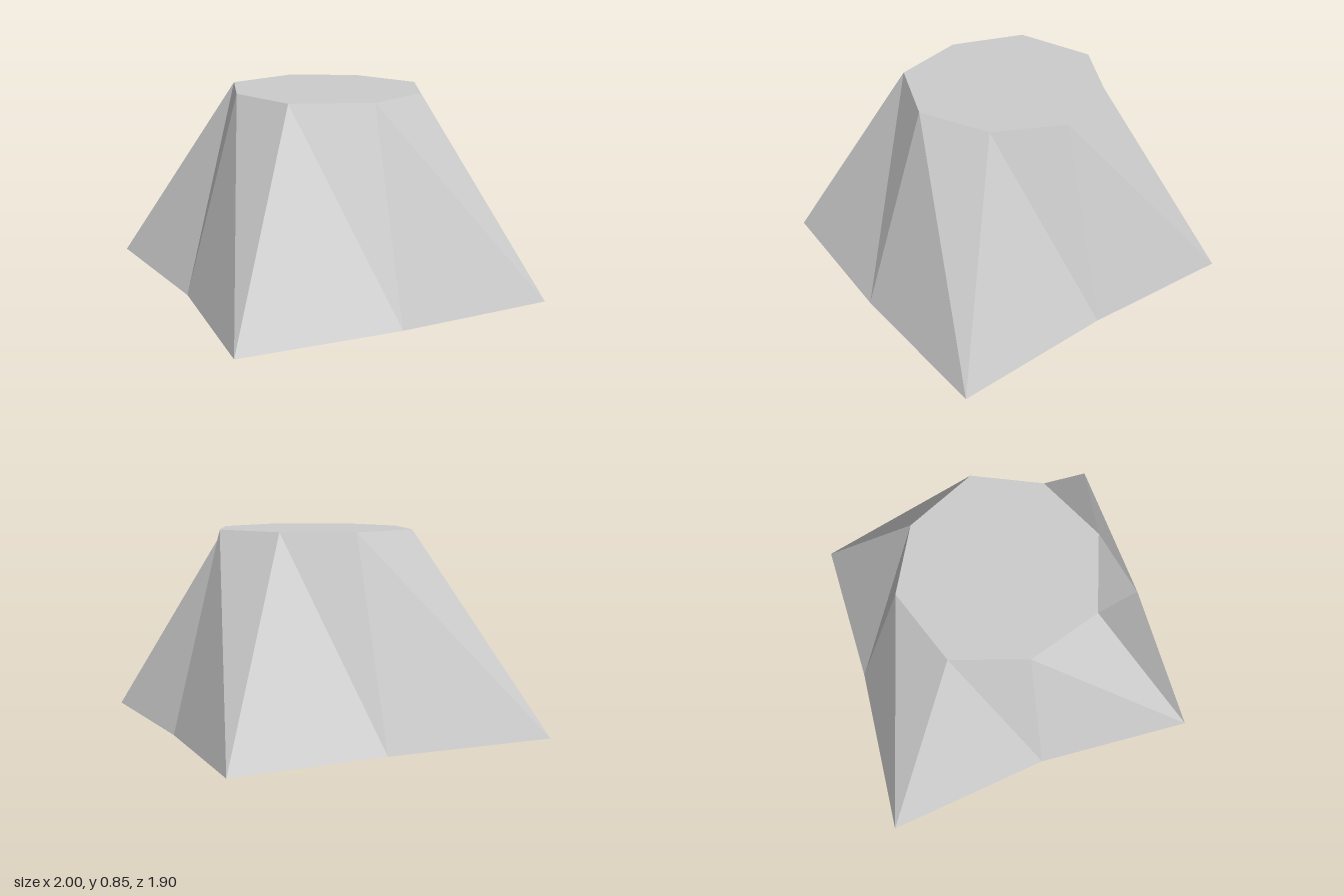
import * as THREE from 'three';

const HEIGHT = 0.845;

// Matching [x, z] outlines, counter-clockwise seen from above, starting at -x
const BASE = [[-1, -0.02], [-0.43, 0.435], [0.03, 0.95], [0.53, 0.485],
  [1, -0.02], [0.485, -0.475], [0.03, -0.95], [-0.44, -0.495]];
const RIM = [[-0.407, -0.02], [-0.26, 0.267], [0.03, 0.417], [0.34, 0.277],
  [0.445, -0.02], [0.34, -0.307], [0.03, -0.42], [-0.26, -0.33]];

function facets(name, points, material) {
  const geometry = new THREE.BufferGeometry();
  geometry.setAttribute('position', new THREE.Float32BufferAttribute(points.flat(), 3));
  geometry.computeVertexNormals(); // unshared corners give flat facets
  const mesh = new THREE.Mesh(geometry, material);
  mesh.name = name;
  return mesh;
}

export function createModel() {
  const stone = new THREE.MeshStandardMaterial({ color: 0xcccccc, flatShading: true });
  stone.name = 'pale grey';

  const low = BASE.map(([x, z]) => [x, 0, z]);
  const high = RIM.map(([x, z]) => [x, HEIGHT, z]);
  const walls = [], top = [], bottom = [];
  for (let i = 0; i < low.length; i++) {
    const j = (i + 1) % low.length;
    walls.push(low[i], low[j], high[i], low[j], high[j], high[i]);
    top.push([0.03, HEIGHT, -0.02], high[i], high[j]);
    bottom.push([0.03, 0, -0.02], low[j], low[i]);
  }

  const group = new THREE.Group();
  group.name = 'facetedMound';
  group.add(
    facets('slopingWalls', walls, stone),
    facets('flatTop', top, stone),
    facets('underside', bottom, stone),
  );
  return group;
}
